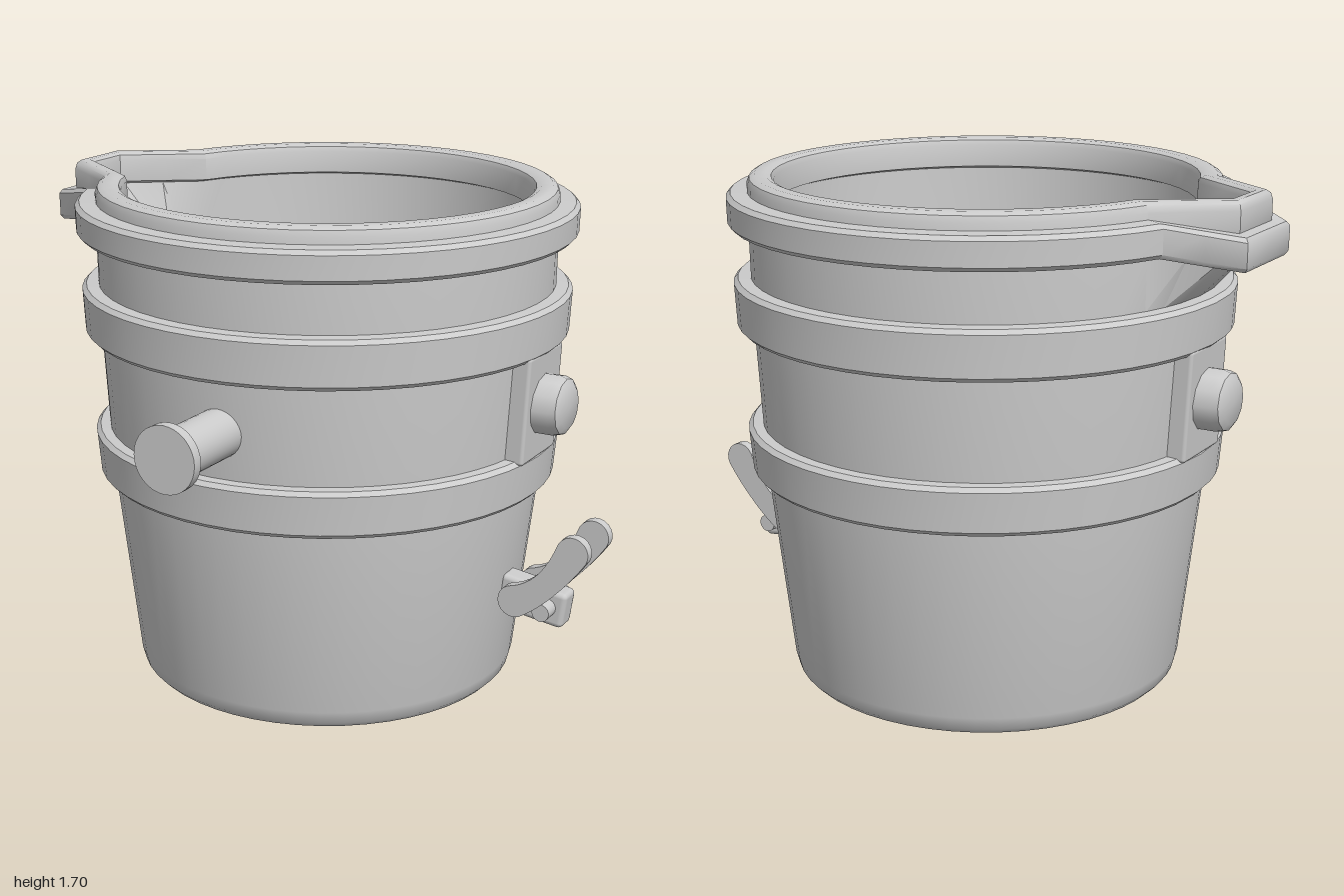
import * as THREE from 'three';
import { toCreasedNormals } from 'three/addons/utils/BufferGeometryUtils.js';
import { RoundedBoxGeometry } from 'three/addons/geometries/RoundedBoxGeometry.js';

const CX = -0.015, CZ = -0.106; // axis of the vessel
const NECK = THREE.MathUtils.degToRad(21);
const material = new THREE.MeshStandardMaterial({ color: 0xcccccc });

function add(parent, name, geometry, x = 0, y = 0, z = 0) {
  const mesh = new THREE.Mesh(geometry, material);
  mesh.name = name;
  mesh.position.set(x, y, z);
  parent.add(mesh);
  return mesh;
}

// Circle of radius R that is pulled out into a pouring spout on -x by the amount s
function contour(R, y, s = 0, drop = 0) {
  const pts = [];
  const circle = (a) => new THREE.Vector3(-R * Math.cos(a), y, R * Math.sin(a));
  const n = 46;
  for (let i = 0; i <= n; i++) pts.push(circle(NECK + (i / n) * (2 * Math.PI - 2 * NECK)));
  const tipX = -(0.885 + (R - 0.68) * 0.65), half = 0.07 + (R - 0.68) * 0.6;
  const neck = circle(NECK);
  const spout = (f, side) => { // f: 0 at the neck, 1 at the corner of the tip
    const p = circle(side * NECK * (1 - f * 0.57));
    const q = new THREE.Vector3(
      THREE.MathUtils.lerp(neck.x, tipX, f), y - drop * f,
      side * THREE.MathUtils.lerp(neck.z, half, f));
    return p.lerp(q, s);
  };
  pts.push(spout(0.5, -1), spout(1, -1));
  pts.push(circle(0).lerp(new THREE.Vector3(tipX, y - drop, 0), s));
  pts.push(spout(1, 1), spout(0.5, 1));
  return pts;
}

// Skin a list of [radius, height, spout amount, tip drop] rows
function loft(rows) {
  const loops = rows.map((r) => contour(...r));
  const n = loops[0].length, pos = [], index = [];
  loops.forEach((loop) => loop.forEach((p) => pos.push(p.x, p.y, p.z)));
  for (let i = 0; i < loops.length - 1; i++) {
    for (let j = 0; j < n; j++) {
      const a = i * n + j, b = i * n + ((j + 1) % n);
      index.push(a, b, b + n, a, b + n, a + n);
    }
  }
  const g = new THREE.BufferGeometry();
  g.setAttribute('position', new THREE.Float32BufferAttribute(pos, 3));
  g.setIndex(index);
  return toCreasedNormals(g, 0.65);
}

// Closed band with bevelled outer edges
function band(rIn, r0, r1, y0, y1, s = 0, drop = 0) {
  const b = 0.014;
  const rows = [[rIn, y0], [r0 - b, y0], [r0, y0 + b], [r1, y1 - b], [r1 - b, y1], [rIn, y1 + 0.004], [rIn, y0]];
  return loft(rows.map(([r, y]) => [r, y, s, drop]));
}

function lathe(profile, segments) {
  const pts = profile.map(([r, y]) => new THREE.Vector2(r, y));
  return toCreasedNormals(new THREE.LatheGeometry(pts, segments), 0.65);
}

// Curved bar with round ends
function leverGeometry(depth) {
  const curve = new THREE.QuadraticBezierCurve(
    new THREE.Vector2(0.745, 0.392), new THREE.Vector2(0.862, 0.44), new THREE.Vector2(0.944, 0.597));
  const outline = [];
  const side = (t, sign) => {
    const p = curve.getPoint(t), d = curve.getTangent(t);
    const w = 0.055 - 0.012 * Math.sin(Math.PI * t);
    outline.push(new THREE.Vector2(p.x - d.y * w * sign, p.y + d.x * w * sign));
  };
  const cap = (t, from) => {
    const p = curve.getPoint(t), d = curve.getTangent(t);
    const base = Math.atan2(d.y, d.x) + from;
    for (let i = 1; i < 10; i++) {
      const a = base - (i / 10) * Math.PI;
      outline.push(new THREE.Vector2(p.x + 0.055 * Math.cos(a), p.y + 0.055 * Math.sin(a)));
    }
  };
  for (let i = 0; i <= 10; i++) side(i / 10, 1);
  cap(1, Math.PI / 2);
  for (let i = 10; i >= 0; i--) side(i / 10, -1);
  cap(0, -Math.PI / 2);
  const g = new THREE.ExtrudeGeometry(new THREE.Shape(outline), { depth, bevelEnabled: false });
  return toCreasedNormals(g, 0.65);
}

export function createModel() {
  const model = new THREE.Group();
  model.name = 'pouringVessel';
  const vessel = new THREE.Group();
  vessel.name = 'vessel';
  vessel.position.set(CX, 0, CZ);
  model.add(vessel);

  // Shell: outside, rolled rim, inside and floor in one skin
  add(vessel, 'shell', loft([
    [0.001, 0.01], [0.59, 0.01], [0.625, 0.018], [0.645, 0.038], [0.656, 0.08],
    [0.73, 0.73], [0.757, 1.21], [0.762, 1.37], [0.765, 1.54, 0.85], [0.765, 1.61, 1],
    [0.765, 1.67, 1], [0.757, 1.69, 1], [0.74, 1.7, 1], [0.705, 1.7, 1], [0.687, 1.692, 1],
    [0.68, 1.675, 1], [0.68, 1.6, 1], [0.712, 1.59, 0.9], [0.708, 1.37], [0.7, 1.21],
    [0.67, 0.73], [0.61, 0.16], [0.597, 0.1], [0.57, 0.075], [0.001, 0.07],
  ]));

  // Reinforcing bands
  add(vessel, 'spoutBand', band(0.75, 0.83, 0.832, 1.54, 1.645, 1, 0.045));
  add(vessel, 'upperBand', band(0.74, 0.81, 0.817, 1.21, 1.37));
  add(vessel, 'lowerBand', band(0.71, 0.775, 0.786, 0.725, 0.882));

  // Side mounts with trunnion knobs
  for (const [name, turn] of [['leftMount', 0], ['rightMount', Math.PI]]) {
    const mount = new THREE.Group();
    mount.name = name;
    mount.rotation.y = turn;
    vessel.add(mount);
    const plate = add(mount, 'mountPlate', new RoundedBoxGeometry(0.11, 0.36, 0.26, 2, 0.012), 0.74, 1.05, 0);
    plate.rotation.z = -0.05;
    const knob = add(mount, 'knob', lathe(
      [[0, 0], [0.1, 0], [0.1, 0.1], [0.092, 0.125], [0.072, 0.138], [0, 0.14]], 12), 0.75, 1.05, 0);
    knob.rotation.z = -Math.PI / 2;
  }

  // Front spigot with end flange
  const spigot = add(model, 'spigot', lathe(
    [[0, 0], [0.08, 0], [0.08, 0.31], [0.108, 0.31], [0.108, 0.345], [0, 0.345]], 32), 0.02, 1.035, 0.59);
  spigot.rotation.x = Math.PI / 2;

  // Tilting lever: bracket, pin and two arms
  const lever = new THREE.Group();
  lever.name = 'tiltLever';
  model.add(lever);
  const bracket = add(lever, 'leverBracket', new RoundedBoxGeometry(0.24, 0.125, 0.085, 2, 0.018), 0.78, 0.375, CZ);
  bracket.rotation.z = -0.14;
  const pin = add(lever, 'leverPin', new THREE.CylinderGeometry(0.03, 0.03, 0.2, 20), 0.84, 0.368, CZ);
  pin.rotation.x = Math.PI / 2;
  const pivot = add(lever, 'leverPivot', new THREE.CylinderGeometry(0.03, 0.03, 0.2, 20), 0.745, 0.392, CZ);
  pivot.rotation.x = Math.PI / 2;
  for (const z of [-0.035, -0.213]) add(lever, 'leverArm', leverGeometry(0.035), 0, 0, z);

  // Three thin curved feet under the floor
  for (let i = 0; i < 3; i++) {
    const a = Math.PI + (i * 2 * Math.PI) / 3, w = 0.34;
    const shape = new THREE.Shape();
    shape.absarc(0, 0, 0.53, a - w, a + w, false);
    shape.absarc(0, 0, 0.46, a + w, a - w, true);
    const foot = add(vessel, 'foot', new THREE.ExtrudeGeometry(shape, { depth: 0.014, bevelEnabled: false }), 0, 0.014, 0);
    foot.rotation.x = Math.PI / 2;
  }
  return model;
}
